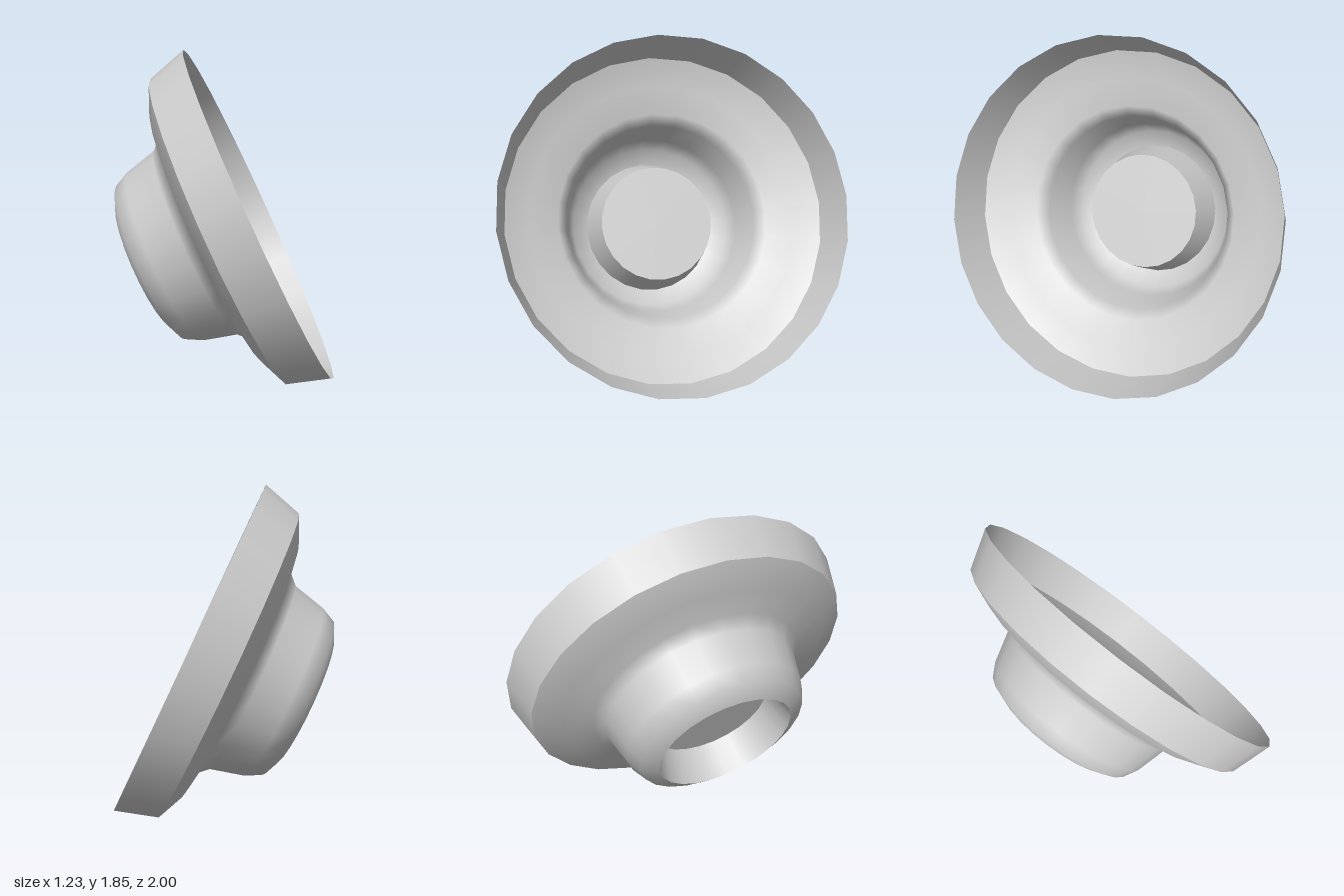
import * as THREE from 'three';

const SEGMENTS = 24;
const TILT = THREE.MathUtils.degToRad(65);

export function createModel() {
  const material = new THREE.MeshStandardMaterial({ color: 0xcccccc, side: THREE.DoubleSide });
  const model = new THREE.Group();
  model.name = 'tiltedDish';

  // All parts are thin shells turned about one axis, which leans towards +x
  const dish = new THREE.Group();
  dish.name = 'dish';
  dish.position.set(0.19, 0.945, 0);
  dish.rotation.z = -TILT;
  model.add(dish);

  // Profile points are [radius, height along the axis]
  const addShell = (name, profile) => {
    const points = profile.map(([r, h]) => new THREE.Vector2(r, h));
    const mesh = new THREE.Mesh(new THREE.LatheGeometry(points, SEGMENTS), material);
    mesh.name = name;
    dish.add(mesh);
  };

  // Flared outer band
  addShell('rim', [[0.935, -0.231], [1.0, 0]]);

  // Smooth bowl stepping down to the rounded back
  addShell('bowl', [
    [0.388, -0.71], [0.48, -0.666], [0.523, -0.58], [0.57, -0.388],
    [0.625, -0.33], [0.784, -0.302], [0.935, -0.231],
  ]);

  // Tapered recess rising into the bowl from the back, closed by a flat disc
  addShell('recessWall', [[0.388, -0.71], [0.338, -0.508]]);
  addShell('recessDisc', [[0.338, -0.508], [0, -0.508]]);

  return model;
}
